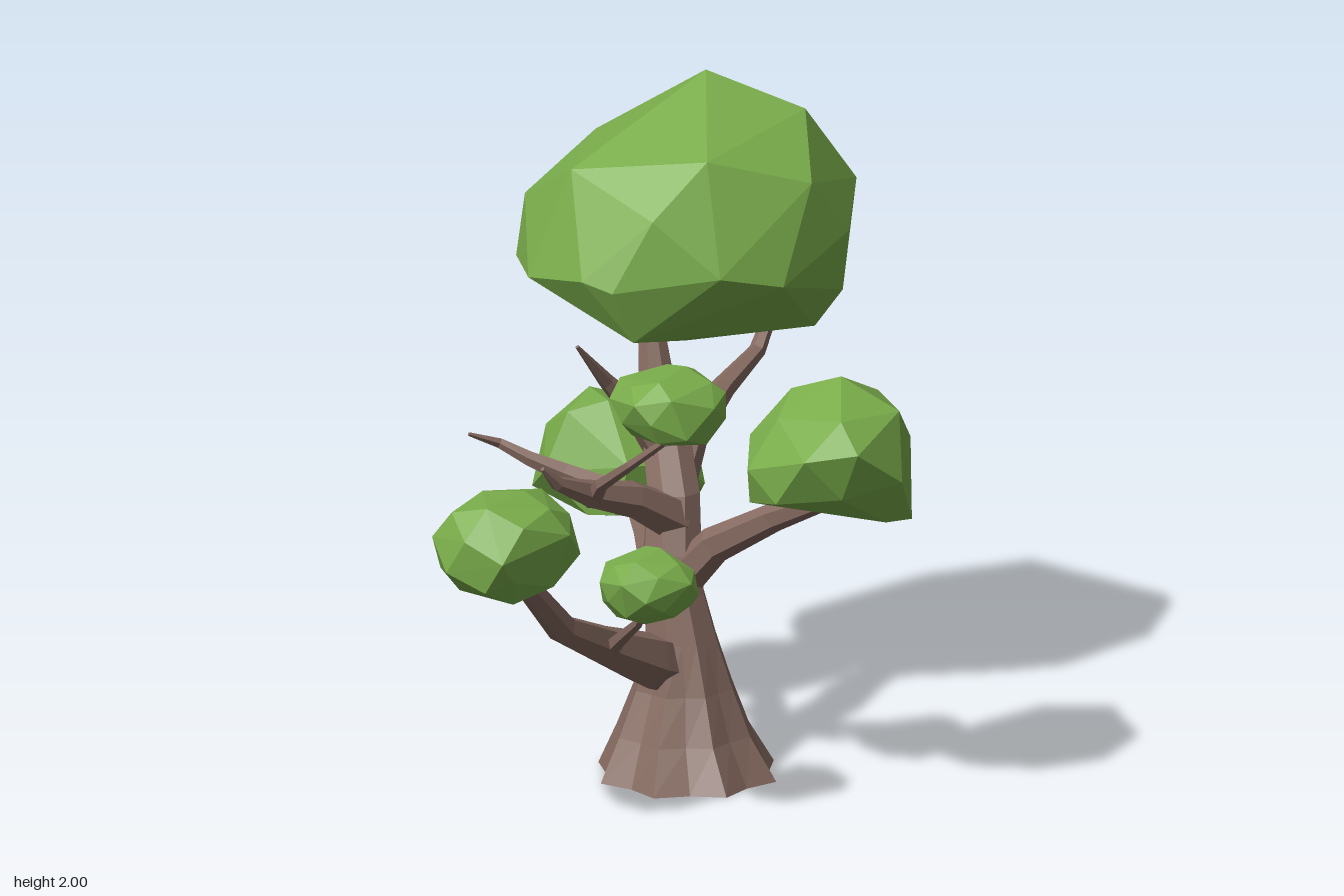
import * as THREE from 'three';
import { ConvexGeometry } from 'three/addons/geometries/ConvexGeometry.js';

const V = (x, y, z) => new THREE.Vector3(x, y, z);

// Small seeded generator for the irregular leaf clumps
function seeded(seed) {
  let s = seed;
  return () => (s = (s * 16807) % 2147483647) / 2147483647;
}

// Tapered tube through stations [x, y, z, radius]; level keeps every ring horizontal,
// lobes pulls in every second corner of each ring
function limbGeometry(stations, sides, { level = false, lobes = [] } = {}) {
  const centres = stations.map(s => V(s[0], s[1], s[2]));
  const last = centres.length - 1;
  const pos = [];
  let u = V(1, 0, 0);
  const rings = centres.map((c, i) => {
    const t = level ? V(0, 1, 0)
      : centres[Math.min(i + 1, last)].clone().sub(centres[Math.max(i - 1, 0)]).normalize();
    if (i === 0 && Math.abs(t.x) > 0.8) u = V(0, 0, 1);
    u = u.clone().addScaledVector(t, -u.dot(t)).normalize();
    const v = t.clone().cross(u);
    return Array.from({ length: sides }, (_, j) => {
      const a = (j / sides) * Math.PI * 2;
      const r = stations[i][3] * (j % 2 ? 1 - (lobes[i] || 0) : 1);
      return c.clone().addScaledVector(u, Math.cos(a) * r).addScaledVector(v, Math.sin(a) * r);
    });
  });
  const tri = (...p) => p.forEach(q => pos.push(q.x, q.y, q.z));
  for (let j = 0; j < sides; j++) {
    const k = (j + 1) % sides;
    for (let i = 0; i < last; i++) {
      tri(rings[i][j], rings[i][k], rings[i + 1][k]);
      tri(rings[i][j], rings[i + 1][k], rings[i + 1][j]);
    }
    tri(centres[0], rings[0][k], rings[0][j]);
    tri(centres[last], rings[last][j], rings[last][k]);
  }
  const g = new THREE.BufferGeometry();
  g.setAttribute('position', new THREE.Float32BufferAttribute(pos, 3));
  g.computeVertexNormals();
  return g;
}

// Faceted clump: jittered hull of a rounded box, skewed and fitted to the given bounds
function clumpGeometry(min, max, count, seed, skew) {
  const rnd = seeded(seed), pts = [];
  const round = n => Math.sign(n) * Math.abs(n) ** 0.8;
  for (let i = 0; i < count; i++) {
    const y = 1 - (2 * (i + 0.5)) / count;
    const a = i * 2.39996 + (rnd() - 0.5) * 0.5;
    const r = Math.sqrt(1 - y * y), k = 0.93 + rnd() * 0.14;
    const x = round(Math.cos(a) * r) * k;
    pts.push(V(x, round(y) * k, round(Math.sin(a) * r) * k - skew * x));
  }
  const box = new THREE.Box3().setFromPoints(pts);
  const size = box.getSize(V());
  const lo = V(...min), span = V(...max).sub(lo);
  pts.forEach(p => p.sub(box.min).divide(size).multiply(span).add(lo));
  return new ConvexGeometry(pts);
}

// Faceted clump from its corner points
const hull = points => new ConvexGeometry(points.map(p => V(...p)));

export function createModel() {
  const tree = new THREE.Group();
  tree.name = 'tree';
  const bark = new THREE.MeshStandardMaterial({ color: 0x856a60 });
  const leaf = new THREE.MeshStandardMaterial({ color: 0x7aad4b });
  bark.name = 'barkBrown';
  leaf.name = 'leafGreen';
  bark.flatShading = leaf.flatShading = true;
  const add = (name, geometry, material) => {
    const mesh = new THREE.Mesh(geometry, material);
    mesh.name = name;
    tree.add(mesh);
  };

  // Trunk with flared, lobed roots that settle into eight flat sides
  add('trunk', limbGeometry([
    [0.125, 0, 0.105, 0.287], [0.12, 0.13, 0.09, 0.215], [0.125, 0.27, 0.08, 0.158],
    [0.12, 0.42, 0.07, 0.115], [0.11, 0.56, 0.045, 0.094], [0.12, 0.68, 0.01, 0.093],
    [0.145, 0.85, -0.04, 0.085], [0.16, 1.0, -0.13, 0.078], [0.165, 1.12, -0.2, 0.06],
    [0.165, 1.35, -0.26, 0.038],
  ], 16, { level: true, lobes: [0.14, 0.12, 0.1, ...Array(7).fill(0.076)] }), bark);

  // Main limbs and thin twigs
  const limbs = {
    lowerRightLimb: [6, [0.15, 0.31, 0.04, 0.09], [-0.02, 0.38, 0.13, 0.088], [-0.2, 0.475, 0.23, 0.064],
      [-0.4, 0.59, 0.35, 0.047], [-0.58, 0.8, 0.44, 0.034], [-0.66, 0.92, 0.52, 0.025]],
    lowerTwig: [5, [-0.2, 0.47, 0.25, 0.03], [-0.21, 0.54, 0.36, 0.022], [-0.215, 0.63, 0.5, 0.016],
      [-0.22, 0.75, 0.6, 0.012]],
    frontLimb: [6, [0.09, 0.53, 0.01, 0.07], [0.2, 0.72, 0.14, 0.057], [0.32, 0.84, 0.31, 0.044],
      [0.4, 0.93, 0.48, 0.034], [0.42, 1.05, 0.58, 0.025]],
    backLimb: [6, [0.11, 0.54, 0.04, 0.07], [0.14, 0.59, -0.15, 0.057], [0.18, 0.63, -0.3, 0.045],
      [0.2, 0.69, -0.44, 0.033], [0.2, 0.78, -0.52, 0.025]],
    middleRightLimb: [6, [0.13, 0.77, 0, 0.075], [-0.03, 0.865, 0.04, 0.058], [-0.2, 0.92, 0.09, 0.042],
      [-0.32, 0.98, 0.14, 0.024], [-0.38, 1.04, 0.16, 0.007]],
    curledTwig: [5, [-0.06, 0.88, 0.03, 0.042], [-0.19, 0.93, -0.09, 0.032], [-0.28, 0.97, -0.16, 0.023],
      [-0.35, 1.01, -0.22, 0.016], [-0.45, 1.05, -0.225, 0.006]],
    risingTwig: [5, [-0.17, 0.89, 0.07, 0.035], [-0.19, 0.97, 0.17, 0.022], [-0.16, 1.07, 0.32, 0.016],
      [-0.1, 1.16, 0.42, 0.013], [-0.09, 1.28, 0.47, 0.01]],
    upperRightBranch: [5, [0.15, 0.95, -0.1, 0.065], [0.06, 1.08, -0.12, 0.044], [-0.05, 1.2, -0.1, 0.025],
      [-0.17, 1.34, -0.05, 0.006]],
    upperLeftBranch: [6, [0.14, 0.85, -0.04, 0.07], [0.28, 0.97, -0.2, 0.052], [0.44, 1.05, -0.33, 0.038],
      [0.6, 1.12, -0.43, 0.026], [0.71, 1.26, -0.52, 0.018]],
  };
  for (const [name, [sides, ...stations]] of Object.entries(limbs))
    add(name, limbGeometry(stations, sides), bark);

  // Large crown
  add('crownLeaves', hull([
    [0.47, 2, -0.52], [0.7, 1.91, -0.3], [0.27, 1.86, -0.07], [-0.04, 1.79, -0.38], [-0.08, 1.65, -0.63],
    [0.25, 1.75, -0.84], [0.6, 1.75, -0.84], [0.36, 1.4, -0.9], [0.66, 1.38, -0.87], [0.87, 1.67, -0.3],
    [0.88, 1.45, -0.59], [0.86, 1.22, -0.53], [0.75, 1.18, -0.7], [0.73, 1.59, -0.05], [0.72, 1.4, -0.07],
    [0.59, 1.77, -0.01], [0.46, 1.48, 0.07], [0.25, 1.53, 0.07], [-0.04, 1.48, -0.08], [-0.1, 1.5, -0.17],
    [-0.16, 1.45, -0.43], [-0.1, 1.45, -0.65], [-0.02, 1.45, -0.76], [0.04, 1.31, -0.1], [0.3, 1.23, -0.29],
    [0.65, 1.28, -0.12], [0.35, 1.2, -0.65], [0.08, 1.7, -0.05], [0.04, 1.31, -0.3],
  ]), leaf);

  // Front clump
  add('frontLeaves', hull([
    [0.42, 1.35, 0.58], [0.43, 1.22, 0.34], [0.61, 1.24, 0.43], [0.65, 1.13, 0.58], [0.6, 0.91, 0.7],
    [0.5, 0.92, 0.73], [0.5, 1.08, 0.85], [0.33, 1.2, 0.9], [0.18, 1.18, 0.84], [0.1, 1.1, 0.6],
    [0.13, 0.98, 0.55], [0.32, 0.98, 0.6], [0.19, 1.15, 0.42], [0.2, 1.25, 0.6], [0.6, 1.05, 0.42],
    [0.3, 1.06, 0.37], [0.32, 1.28, 0.8], [0.54, 1.27, 0.74], [0.3, 1.3, 0.48], [0.3, 1.05, 0.85],
    [0.14, 1.02, 0.72],
  ]), leaf);

  // Back clump
  add('backLeaves', hull([
    [-0.02, 1.0, -0.45], [0.1, 1.03, -0.42], [0.12, 1.02, -0.6], [-0.1, 0.82, -0.45], [-0.07, 0.73, -0.6],
    [0, 0.7, -0.35], [0.23, 0.68, -0.29], [0.42, 0.69, -0.45], [0.44, 0.8, -0.54], [0.38, 0.93, -0.42],
    [0.32, 0.94, -0.65], [0.39, 0.72, -0.7], [0.2, 0.76, -0.76], [0.18, 0.88, -0.73], [0.03, 0.68, -0.67],
    [0.1, 0.86, -0.27], [0.25, 0.85, -0.28], [0.06, 0.71, -0.28], [-0.01, 0.91, -0.63], [0.39, 0.75, -0.35],
    [0.3, 0.66, -0.55],
  ]), leaf);

  // Smaller clumps: bounds, point count, seed, skew
  add('rightLeaves', clumpGeometry([-0.89, 0.79, 0.31], [-0.43, 1.09, 0.73], 30, 17, 0.28), leaf);
  add('upperSmallLeaves', clumpGeometry([-0.27, 1.19, 0.31], [0.06, 1.41, 0.67], 28, 43, 0.05), leaf);
  add('lowerSmallLeaves', clumpGeometry([-0.37, 0.67, 0.44], [-0.07, 0.88, 0.74], 28, 58, 0.15), leaf);
  return tree;
}
